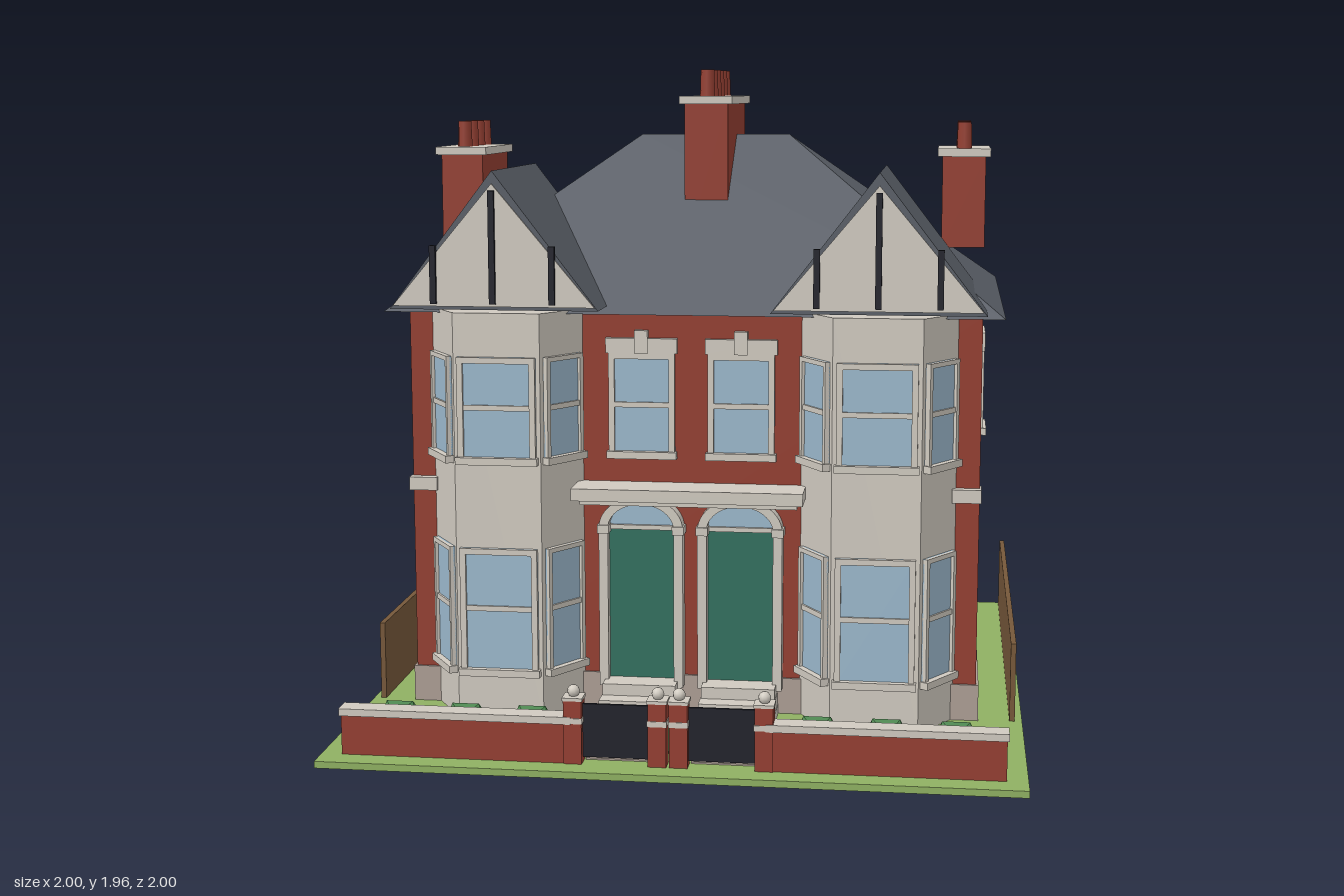
import * as THREE from 'three';
import { ConvexGeometry } from 'three/addons/geometries/ConvexGeometry.js';

const mat = (name, color) => {
  const m = new THREE.MeshStandardMaterial({ color });
  m.name = name;
  return m;
};

export function createModel() {
  const brick = mat('brick', 0x943f32), stone = mat('stone', 0xd0cac0), slate = mat('slate', 0x5a5f67);
  const glass = mat('glass', 0x9bb8cc), green = mat('door green', 0x33705f), grass = mat('grass', 0x8fb062);
  const leaf = mat('leaf', 0x4d8650), wood = mat('fence wood', 0x76583a), iron = mat('iron', 0x22232c);
  const paving = mat('paving', 0xac9e95);
  const model = new THREE.Group();
  model.name = 'house';

  const add = (parent, name, geo, material) => {
    const m = new THREE.Mesh(geo, material);
    m.name = name;
    parent.add(m);
    return m;
  };
  // Box given by its limits on each axis
  const box = (parent, name, material, x0, x1, y0, y1, z0, z1) => {
    const m = add(parent, name, new THREE.BoxGeometry(x1 - x0, y1 - y0, z1 - z0), material);
    m.position.set((x0 + x1) / 2, (y0 + y1) / 2, (z0 + z1) / 2);
    return m;
  };
  const group = (parent, name, x = 0, y = 0, z = 0, turn = 0) => {
    const g = new THREE.Group();
    g.name = name;
    g.position.set(x, y, z);
    g.rotation.y = turn;
    parent.add(g);
    return g;
  };
  const extrude = (shape, depth) =>
    new THREE.ExtrudeGeometry(shape, { depth, bevelEnabled: false, curveSegments: 12 });
  const polygon = pts => new THREE.Shape(pts.map(p => new THREE.Vector2(...p)));

  // Sash window standing on y, facing local +z; w and h are the outer frame size
  const sash = (parent, name, x, y, z, turn, w, h, { f = 0.018, head = 0, key = false, rail = 0.5 } = {}) => {
    const g = group(parent, name, x, y, z, turn), a = w / 2;
    box(g, 'pane', glass, -a, a, 0, h, 0, 0.006);
    for (const s of [-1, 1]) {
      const c = s * (a - f / 2);
      box(g, 'jamb', stone, c - f / 2, c + f / 2, 0, h, 0, 0.016);
    }
    box(g, 'topRail', stone, -a, a, h - f, h, 0, 0.016);
    if (rail) box(g, 'meetingRail', stone, -a, a, h * rail - 0.008, h * rail + 0.008, 0, 0.012);
    box(g, 'sill', stone, -a - 0.006, a + 0.006, 0, 0.022, 0, 0.026);
    if (head) box(g, 'lintel', stone, -a - 0.008, a + 0.008, h, h + head, 0, 0.018);
    if (key) box(g, 'keystone', stone, -0.02, 0.02, h, h + head + 0.024, 0, 0.024);
  };

  // Plot, paths and side fences
  box(model, 'lawn', grass, -1, 1, 0, 0.02, -1, 1);
  for (const s of [-1, 1]) {
    box(model, 'path', paving, s * 0.15 - 0.09, s * 0.15 + 0.09, 0.02, 0.025, 0.58, 0.89);
    box(model, 'sideFence', wood, s * 0.97 - 0.008, s * 0.97 + 0.008, 0.02, 0.26, -0.98, 0.4);
  }

  // Walls and plinth
  box(model, 'walls', brick, -0.86, 0.86, 0.02, 1.24, -0.84, 0.4);
  box(model, 'plinth', paving, -0.868, 0.868, 0.02, 0.13, -0.848, 0.408);

  // Hipped roof
  const roofPoints = [];
  for (const s of [-1, 1]) {
    roofPoints.push(new THREE.Vector3(s * 0.925, 1.24, -0.91), new THREE.Vector3(s * 0.925, 1.24, 0.46),
      new THREE.Vector3(s * 0.24, 1.757, -0.223));
  }
  add(model, 'mainRoof', new ConvexGeometry(roofPoints), slate);

  // Two-storey bays with timbered gables
  const half = 0.23, front = 0.13, depth = 0.155;
  const bayGeo = extrude(polygon([[-half, 0], [-front, -depth], [front, -depth], [half, 0]]), 1.23).rotateX(Math.PI / 2);
  const facetTurn = Math.atan2(depth, half - front);
  for (const s of [-1, 1]) {
    const bay = group(model, 'bay', s * 0.56, 0, 0.4);
    const bayWall = add(bay, 'bayWall', bayGeo, stone);
    // Profile is drawn with -z forward, so turn it to face the street
    bayWall.rotation.y = Math.PI;
    bayWall.position.y = 1.25;
    for (const [y, h] of [[0.155, 0.39], [0.8, 0.32]]) {
      sash(bay, 'bayWindow', 0, y, depth, 0, 0.235, h, { rail: 0.53 });
      for (const t of [-1, 1]) {
        sash(bay, 'bayWindow', t * (half + front) / 2, y, depth / 2, t * facetTurn, 0.155, h, { f: 0.014, rail: 0.53 });
      }
    }
    const gable = group(model, 'gable', s * 0.56);
    const gableRoof = extrude(polygon([[-0.31, 1.262], [0.31, 1.262], [0, 1.667]]), 0.62).translate(0, 0, -0.04);
    add(gable, 'gableRoof', gableRoof, slate);
    add(gable, 'gableFace', extrude(polygon([[-0.3, 1.272], [0.3, 1.272], [0, 1.63]]), 0.006).translate(0, 0, 0.58), stone);
    for (const [x, top] of [[-0.176, 1.45], [0, 1.61], [0.176, 1.45]]) {
      box(gable, 'timber', iron, x - 0.009, x + 0.009, 1.28, top, 0.58, 0.597);
    }
    // String course at the corner
    box(model, 'stringCourse', stone, s * 0.822 - 0.043, s * 0.822 + 0.043, 0.69, 0.73, 0.36, 0.43);
  }

  // Paired entrances: door, fanlight, arched surround, steps
  const archRing = () => {
    const sh = new THREE.Shape();
    sh.moveTo(-0.128, 0.1).lineTo(-0.128, 0.59);
    sh.absellipse(0, 0.59, 0.128, 0.1, Math.PI, 0, true);
    sh.lineTo(0.128, 0.1).lineTo(0.1, 0.1).lineTo(0.1, 0.59);
    sh.absellipse(0, 0.59, 0.1, 0.075, 0, Math.PI, false);
    sh.lineTo(-0.1, 0.1);
    return sh;
  };
  const fan = new THREE.Shape();
  fan.absellipse(0, 0.59, 0.102, 0.077, 0, Math.PI, false);
  for (const s of [-1, 1]) {
    const e = group(model, 'entrance', s * 0.15);
    box(e, 'door', green, -0.1, 0.1, 0.12, 0.588, 0.4, 0.412);
    add(e, 'fanlight', extrude(fan, 0.008).translate(0, 0, 0.4), glass);
    box(e, 'transom', stone, -0.1, 0.1, 0.582, 0.596, 0.4, 0.418);
    add(e, 'archSurround', extrude(archRing(), 0.045).translate(0, 0, 0.4), stone);
    for (const t of [-1, 1]) {
      box(e, 'capital', stone, t * 0.114 - 0.018, t * 0.114 + 0.018, 0.575, 0.6, 0.4, 0.452);
    }
    for (let i = 0; i < 3; i++) {
      box(e, 'step', stone, -0.115 + i * 0.002, 0.115 - i * 0.002, 0.02, 0.05 + i * 0.035, 0.4, 0.605 - i * 0.055);
    }
    sash(model, 'landingWindow', s * 0.15, 0.8, 0.4, 0, 0.2, 0.32, { head: 0.045, key: true, rail: 0.51 });
  }
  box(model, 'canopy', stone, -0.345, 0.345, 0.69, 0.727, 0.4, 0.535);
  box(model, 'canopyMoulding', stone, -0.325, 0.325, 0.672, 0.69, 0.4, 0.5);

  // Side and rear windows
  for (const s of [-1, 1]) {
    sash(model, 'sideWindow', s * 0.86, 0.8, -0.217, s * Math.PI / 2, 0.18, 0.272, { f: 0.012, head: 0.06 });
  }
  for (const x of [-0.63, -0.21, 0.21, 0.63]) {
    for (const y of [0.265, 0.835]) sash(model, 'rearWindow', x, y, -0.84, Math.PI, 0.19, 0.295, { rail: 0 });
  }

  // Chimney stacks with rows of pots
  const potGeo = new THREE.CylinderGeometry(0.021, 0.024, 0.085, 8);
  const chimney = (x, w, y0, y1, z0, z1, pots) => {
    const g = group(model, 'chimney', x), mid = (z0 + z1) / 2;
    box(g, 'stack', brick, -w, w, y0, y1, z0, z1);
    box(g, 'cap', stone, -w - 0.015, w + 0.015, y1, y1 + 0.025, z0 - 0.017, z1 + 0.017);
    for (let i = 0; i < pots; i++) {
      add(g, 'pot', potGeo, brick).position.set(0, y1 + 0.064, mid + (i - (pots - 1) / 2) * 0.089);
    }
  };
  chimney(0, 0.068, 1.4, 1.855, -0.475, 0.04, 6);
  for (const s of [-1, 1]) chimney(s * 0.8, 0.067, 1.41, 1.693, -0.4, -0.04, 4);

  // Front garden wall, gate piers and gates
  const ball = new THREE.SphereGeometry(0.018, 10, 8);
  for (const s of [-1, 1]) {
    const c = s * 0.61;
    box(model, 'gardenWall', brick, c - 0.33, c + 0.33, 0.02, 0.135, 0.885, 0.93);
    box(model, 'coping', stone, c - 0.335, c + 0.335, 0.135, 0.156, 0.876, 0.937);
    for (const x of [s * 0.03, s * 0.27]) {
      box(model, 'gatePier', brick, x - 0.026, x + 0.026, 0.02, 0.205, 0.882, 0.934);
      box(model, 'pierBand', stone, x - 0.028, x + 0.028, 0.137, 0.153, 0.88, 0.936);
      box(model, 'pierCap', stone, x - 0.029, x + 0.029, 0.203, 0.212, 0.879, 0.937);
      add(model, 'pierBall', ball, stone).position.set(x, 0.226, 0.908);
    }
    box(model, 'gate', iron, s * 0.15 - 0.094, s * 0.15 + 0.094, 0.035, 0.19, 0.903, 0.912);
  }

  // Planting
  const bushGeo = new THREE.IcosahedronGeometry(0.074, 0);
  [-0.8, -0.605, -0.41, 0, 0.41, 0.605, 0.8].forEach(x =>
    add(model, 'bush', bushGeo, leaf).position.set(x, 0.083, 0.812));
  const tree = add(model, 'tree', new THREE.IcosahedronGeometry(0.195, 0), grass);
  tree.position.set(-0.74, 0.49, -0.787);
  tree.rotation.y = Math.PI / 2;
  return model;
}
